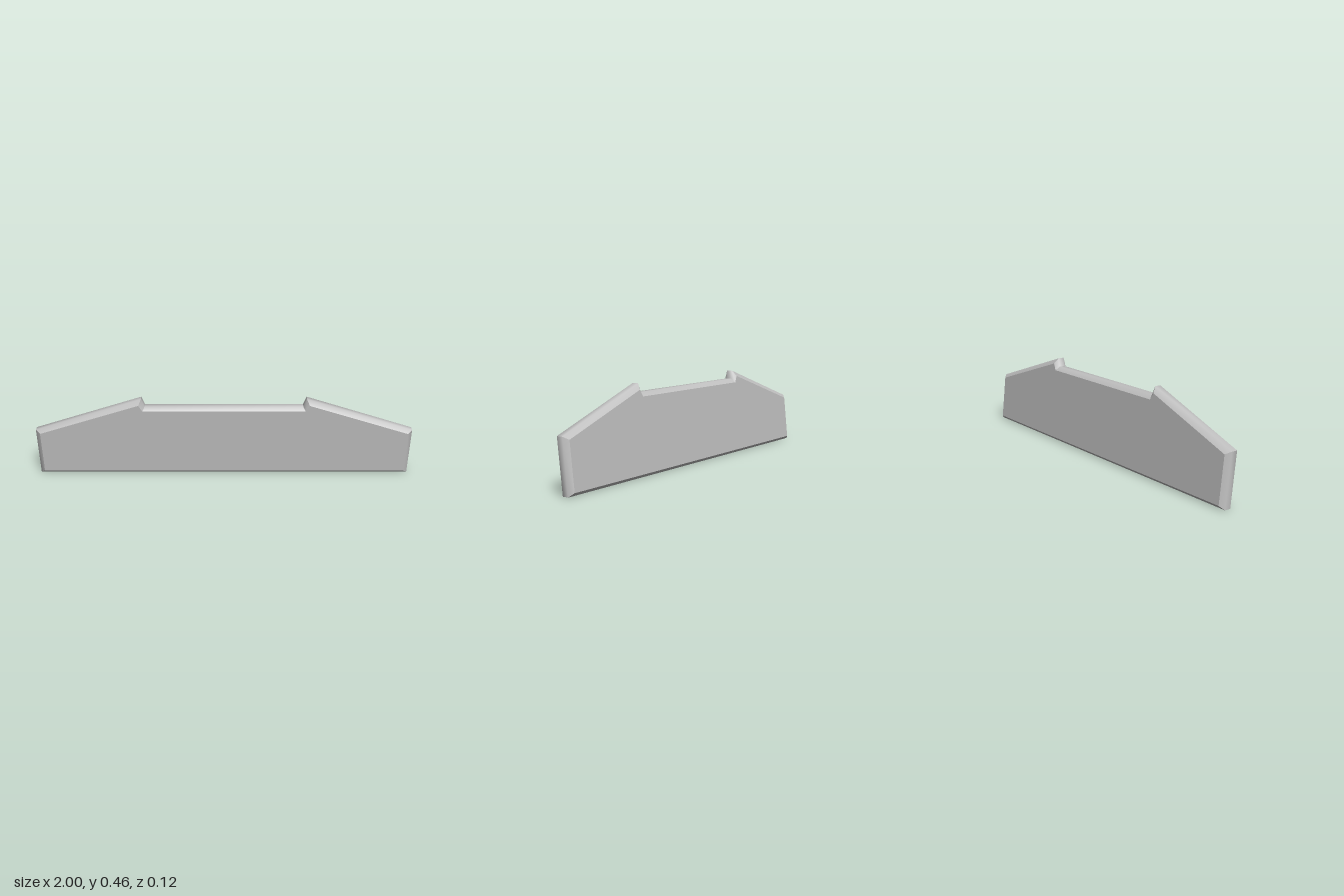
import * as THREE from 'three';
import { mergeGeometries } from 'three/addons/utils/BufferGeometryUtils.js';

const LEAN = 0.106;    // forward shift per unit of height
const FRONT = 0.013, BACK = -0.059, BEVEL = 0.02;

// Right half of the outline, bottom to top: outer rim and inset face edge
const outerHalf = [[1, 0], [1, 0.272], [0.432, 0.462], [0.415, 0.417]];
const innerHalf = [[0.976, 0.018], [0.976, 0.257], [0.446, 0.432], [0.426, 0.397]];

const mirror = (half) => [...half, ...half.map(([x, y]) => [-x, y]).reverse()];
const place = (loop, z) => loop.map(([x, y]) => new THREE.Vector3(x, y, z + y * LEAN));

function makeGeometry(points, index) {
  const g = new THREE.BufferGeometry().setFromPoints(points);
  g.setIndex(index);
  g.computeVertexNormals();
  return g;
}

export function createModel() {
  const group = new THREE.Group();
  group.name = 'leaningPanel';
  const grey = new THREE.MeshStandardMaterial({ color: 0xc0c0c0 });
  grey.name = 'plain grey';

  const add = (name, geometry) => {
    const mesh = new THREE.Mesh(geometry, grey);
    mesh.name = name;
    group.add(mesh);
  };

  const outer = mirror(outerHalf), inner = mirror(innerHalf);
  const rings = [
    place(inner, FRONT),
    place(outer, FRONT - BEVEL),
    place(outer, BACK + BEVEL),
    place(inner, BACK),
  ];

  // Flat front and back faces
  const faces = THREE.ShapeUtils.triangulateShape(inner.map(([x, y]) => new THREE.Vector2(x, y)), []);
  add('frontFace', makeGeometry(rings[0], faces.flat()));
  add('backFace', makeGeometry(rings[3], faces.flatMap(([a, b, c]) => [a, c, b])));

  // Bevelled rim: one smooth strip per side, creased at the corners
  const strips = outer.map((_, i) => {
    const j = (i + 1) % outer.length;
    const points = rings.flatMap((ring) => [ring[i], ring[j]]);
    const index = [];
    for (let r = 0; r < 6; r += 2) index.push(r, r + 2, r + 1, r + 1, r + 2, r + 3);
    return makeGeometry(points, index);
  });
  add('bevelledRim', mergeGeometries(strips));

  return group;
}
